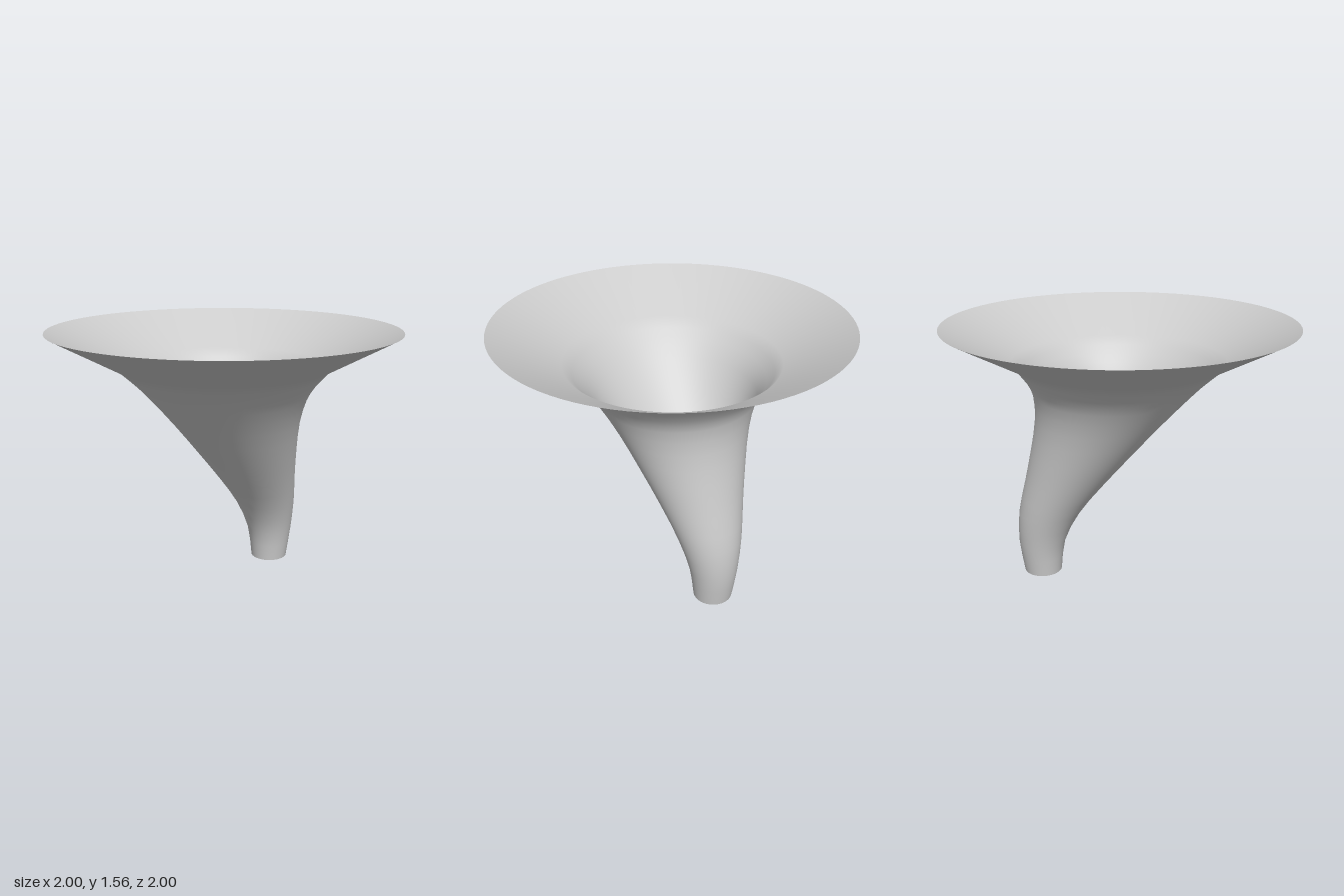
import * as THREE from 'three';

const SIDES = 96;

// Skin a stack of horizontal circles; each ring is a vector (centre x, height, radius)
function skinRings(rings) {
  const positions = [], index = [];
  rings.forEach((ring, row) => {
    for (let i = 0; i < SIDES; i++) {
      const a = (i / SIDES) * Math.PI * 2;
      positions.push(ring.x + ring.z * Math.cos(a), ring.y, ring.z * Math.sin(a));
      if (row === 0) continue;
      const next = (i + 1) % SIDES;
      const low = (row - 1) * SIDES, high = row * SIDES;
      index.push(low + i, high + i, low + next, low + next, high + i, high + next);
    }
  });
  const geometry = new THREE.BufferGeometry();
  geometry.setAttribute('position', new THREE.Float32BufferAttribute(positions, 3));
  geometry.setIndex(index);
  geometry.computeVertexNormals();
  return geometry;
}

export function createModel() {
  const group = new THREE.Group();
  group.name = 'funnel';

  // Bent stem: widens upward while its centre drifts back to the axis
  const stem = new THREE.CatmullRomCurve3([
    [0.483, 0, 0.115],
    [0.483, 0.2, 0.142],
    [0.43, 0.4, 0.187],
    [0.33, 0.6, 0.243],
    [0.222, 0.8, 0.308],
    [0.117, 1, 0.38],
    [0.045, 1.16, 0.457],
    [0.02, 1.25, 0.52],
    [0.003, 1.35, 0.615],
  ].map((p) => new THREE.Vector3(...p)));

  // Straight conical mouth ends the skin in an open rim
  const rings = [...stem.getPoints(16), new THREE.Vector3(0, 1.56, 1)];

  const horn = new THREE.Mesh(
    skinRings(rings),
    new THREE.MeshStandardMaterial({ color: 0xcccccc, side: THREE.DoubleSide }),
  );
  horn.name = 'hornSurface';
  group.add(horn);
  return group;
}
